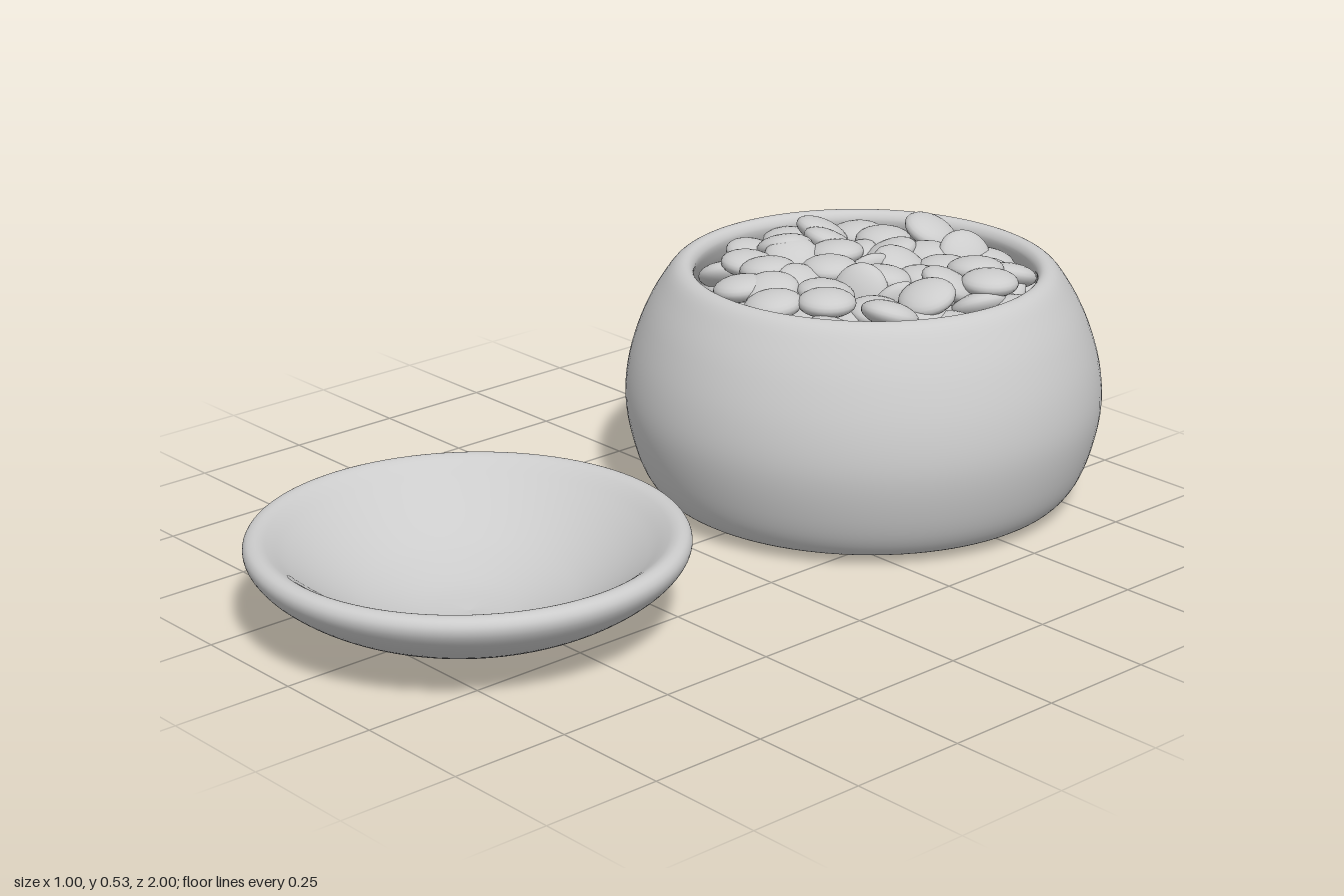
import * as THREE from 'three';

// Smooth lathe from a few [radius, height] points, through a spline
function turned(name, points, steps, z) {
  const curve = new THREE.CatmullRomCurve3(
    points.map(([r, y]) => new THREE.Vector3(r, y, 0)), false, 'centripetal');
  const profile = curve.getPoints(steps).map(p => new THREE.Vector2(Math.max(p.x, 0), p.y));
  const mesh = new THREE.Mesh(
    new THREE.LatheGeometry(profile, 96),
    new THREE.MeshStandardMaterial({ color: 0xcccccc, side: THREE.DoubleSide }));
  mesh.name = name;
  mesh.position.z = z;
  return mesh;
}

function seeded(seed) {
  return () => {
    seed = (seed * 16807) % 2147483647;
    return seed / 2147483647;
  };
}

export function createModel() {
  const model = new THREE.Group();
  model.name = 'candyBowlWithLid';

  // Rounded bowl: flat base, bulging wall, narrow rolled rim, hollow inside
  model.add(turned('bowl', [
    [0, 0.01], [0.2, 0.01], [0.385, 0.01], [0.428, 0.02], [0.457, 0.05], [0.483, 0.11],
    [0.502, 0.21], [0.493, 0.3], [0.463, 0.39], [0.431, 0.45], [0.4, 0.491], [0.38, 0.5],
    [0.366, 0.496], [0.358, 0.48], [0.372, 0.44], [0.42, 0.36], [0.45, 0.25], [0.435, 0.13],
    [0.4, 0.07], [0.36, 0.05], [0.2, 0.045], [0, 0.045],
  ], 100, -0.5));

  // Lid lying upside down in front: a gently curved dish with a thick round rim
  model.add(turned('lid', [
    [0, 0], [0.13, 0.01], [0.22, 0.03], [0.3, 0.06], [0.365, 0.096], [0.41, 0.133],
    [0.429, 0.161], [0.431, 0.178], [0.424, 0.19], [0.41, 0.195], [0.396, 0.192],
    [0.38, 0.182], [0.35, 0.158], [0.3, 0.121], [0.25, 0.09], [0.2, 0.066],
    [0.1, 0.036], [0, 0.026],
  ], 80, 0.567));

  // Lens-shaped candies heaped in spiral layers, with random tilts
  const candies = new THREE.Group();
  candies.name = 'candies';
  candies.position.z = -0.5;
  const candyShape = new THREE.SphereGeometry(0.06, 28, 12).scale(1, 0.45, 1);
  const candyMaterial = new THREE.MeshStandardMaterial({ color: 0xcccccc });
  const random = seeded(4217);
  const layers = [
    { y: 0.36, count: 40, radius: 0.36, tilt: 0.3 },
    { y: 0.405, count: 40, radius: 0.35, tilt: 0.5 },
    { y: 0.445, count: 40, radius: 0.33, tilt: 0.6 },
    { y: 0.48, count: 35, radius: 0.305, tilt: 0.5 },
  ];
  layers.forEach(({ y, count, radius, tilt }, layer) => {
    for (let i = 0; i < count; i++) {
      const r = radius * Math.sqrt((i + 0.5) / count);
      const a = i * 2.39996 + layer * 1.3 + (random() - 0.5) * 0.2;
      const candy = new THREE.Mesh(candyShape, candyMaterial);
      candy.name = 'candy';
      candy.position.set(
        r * Math.cos(a) + (random() - 0.5) * 0.02,
        y + (random() - 0.5) * 0.03,
        r * Math.sin(a) + (random() - 0.5) * 0.02);
      // Some candies away from the rim lean steeply
      const steep = random() < 0.2 && r < 0.27;
      const lean = steep ? 0.8 + 0.5 * random() : tilt * random();
      if (steep) candy.position.y -= 0.015;
      candy.rotation.set(lean, random() * Math.PI * 2, 0, 'YXZ');
      candies.add(candy);
    }
  });
  model.add(candies);

  return model;
}
